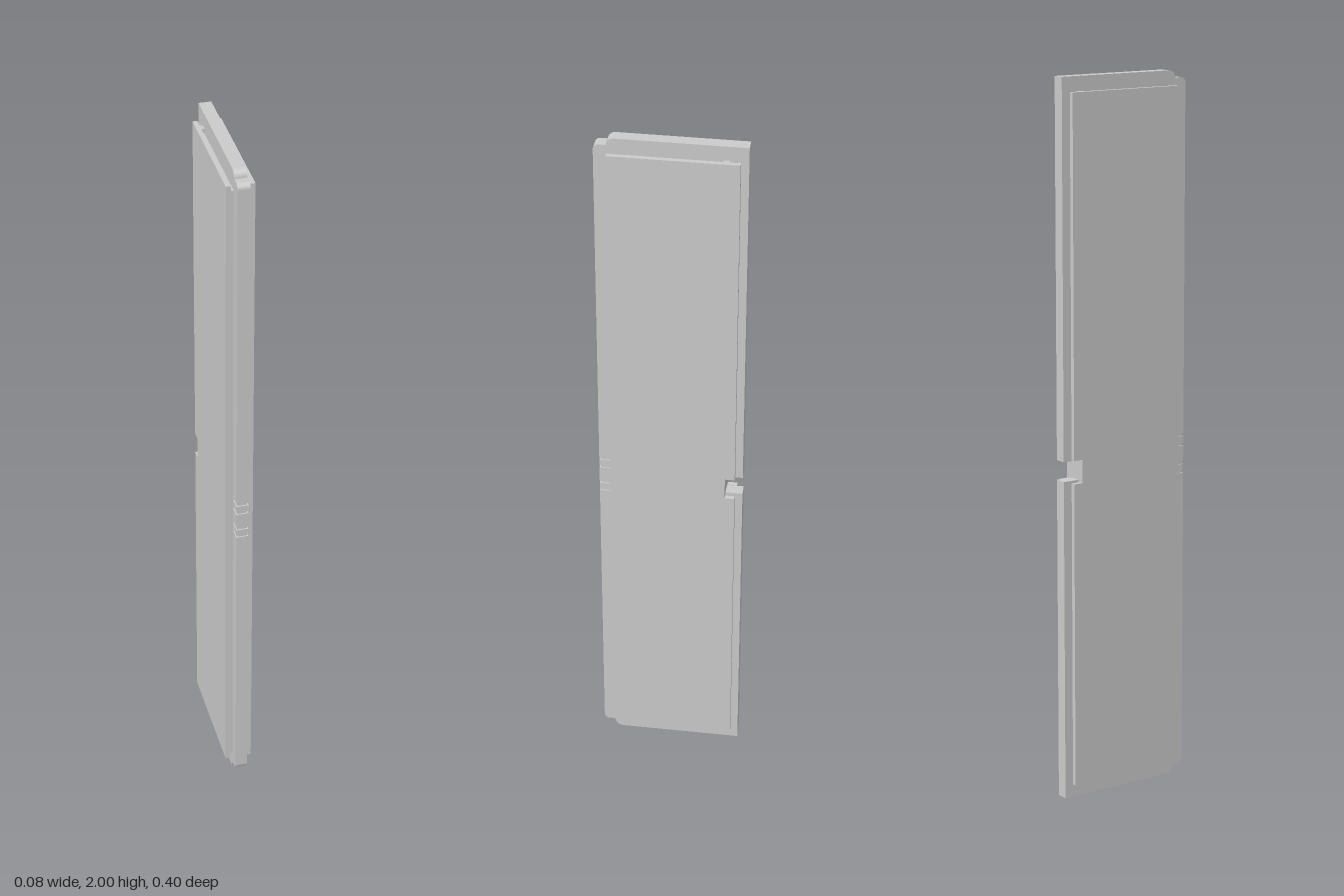
import * as THREE from 'three';

const grey = new THREE.MeshStandardMaterial({ color: 0xcccccc });

export function createModel() {
  const model = new THREE.Group();

  // Box given by its limits on each axis
  function box(name, x0, x1, y0, y1, z0, z1) {
    const mesh = new THREE.Mesh(new THREE.BoxGeometry(x1 - x0, y1 - y0, z1 - z0), grey);
    mesh.position.set((x0 + x1) / 2, (y0 + y1) / 2, (z0 + z1) / 2);
    mesh.name = name;
    model.add(mesh);
  }

  // Slab centred on x = 0 whose front corners can be rounded at bottom and top
  function slab(name, halfX, y0, y1, z0, z1, rBottom, rTop) {
    const s = new THREE.Shape();
    s.moveTo(z0, y0);
    s.lineTo(z1 - rBottom, y0);
    if (rBottom) s.absarc(z1 - rBottom, y0 + rBottom, rBottom, -Math.PI / 2, 0);
    s.lineTo(z1, y1 - rTop);
    if (rTop) s.absarc(z1 - rTop, y1 - rTop, rTop, 0, Math.PI / 2);
    s.lineTo(z0, y1);
    s.closePath();
    const g = new THREE.ExtrudeGeometry(s, { depth: halfX * 2, bevelEnabled: false, curveSegments: 10 });
    g.translate(0, 0, -halfX).rotateY(-Math.PI / 2);
    const mesh = new THREE.Mesh(g, grey);
    mesh.name = name;
    model.add(mesh);
  }

  // Central board
  slab('coreBoard', 0.017, 0, 2, -0.135, 0.165, 0.022, 0.022);

  // Front edge strip, split by four narrow seams over a recessed backing
  const seams = [0.885, 0.91, 0.963, 0.99];
  const g = 0.004;
  const limits = [0.025, ...seams, 1.98];
  for (let i = 0; i < limits.length - 1; i++) {
    const first = i === 0, last = i === limits.length - 2;
    slab('frontEdgeStrip', 0.017, limits[i] + (first ? 0 : g), limits[i + 1] - (last ? 0 : g),
      0.165, 0.198, first ? 0.015 : 0, last ? 0.015 : 0);
  }
  box('frontEdgeBacking', -0.014, 0.014, 0.87, 1.0, 0.16, 0.194);

  // Crosswise band behind the panels
  box('bandCore', -0.017, 0.017, 0, 2, -0.153, -0.135);

  // Back edge of the board, interrupted by a notch
  box('lowerBackEdge', -0.017, 0.017, 0, 0.91, -0.2, -0.153);
  box('upperBackEdge', -0.017, 0.017, 0.965, 2, -0.2, -0.153);

  // Face panels, spacers and back lips on both sides
  for (const side of [-1, 1]) {
    const part = (name, xa, xb, ...rest) =>
      box(name, Math.min(side * xa, side * xb), Math.max(side * xa, side * xb), ...rest);
    part('spacer', 0.017, 0.026, 0.055, 1.945, -0.135, 0.161);
    part('facePanel', 0.025, 0.038, 0.04, 1.96, -0.135, 0.163);
    part('bandSide', 0.017, 0.038, 0.04, 1.96, -0.153, -0.135);
    part('lowerBackLip', 0.025, 0.038, 0.04, 0.905, -0.18, -0.153);
    part('upperBackLip', 0.025, 0.038, 0.97, 1.96, -0.18, -0.153);
  }
  return model;
}
